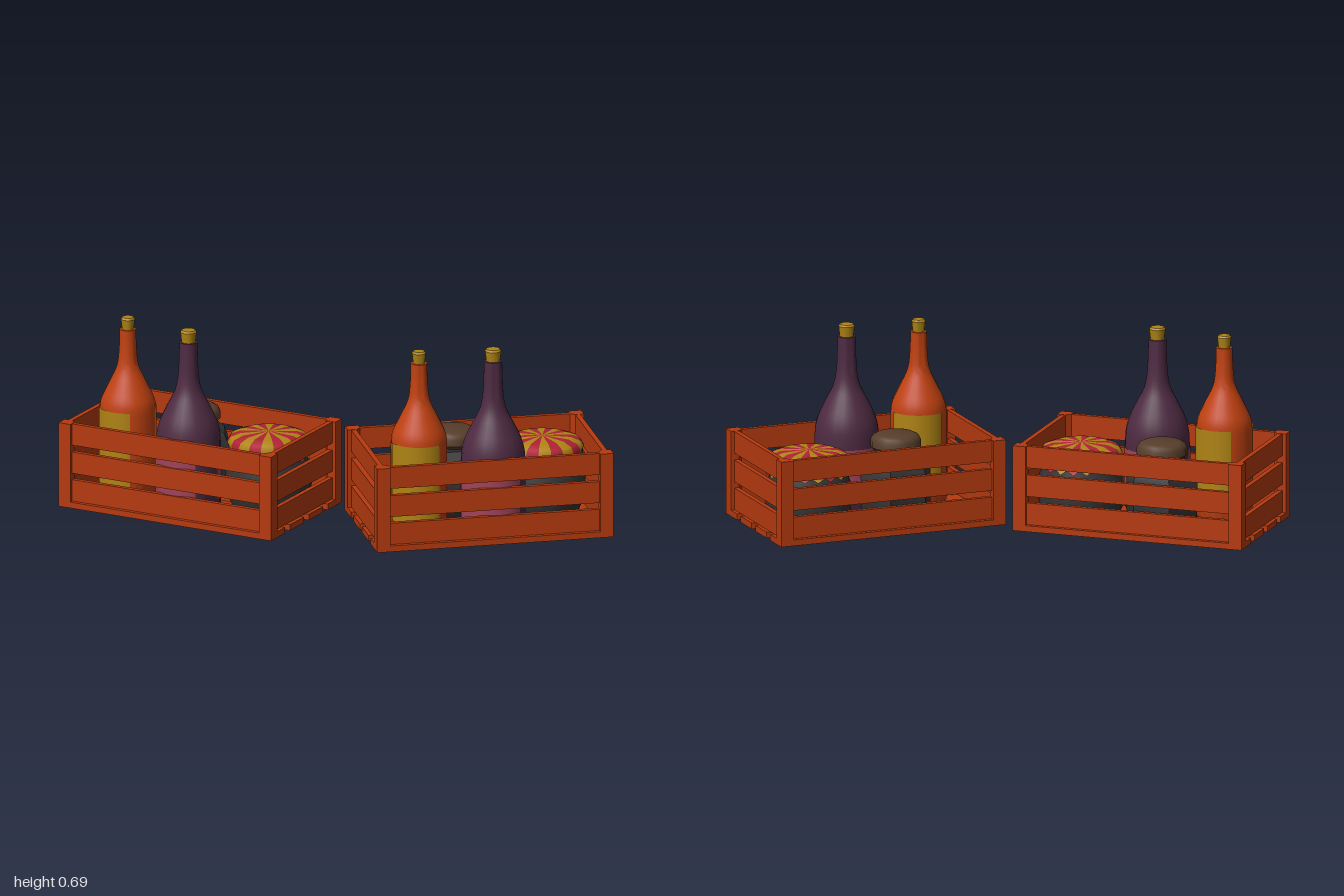
import * as THREE from 'three';
import { mergeGeometries, toCreasedNormals } from 'three/addons/utils/BufferGeometryUtils.js';

const mat = (name, color, side = THREE.FrontSide) => {
  const m = new THREE.MeshStandardMaterial({ color, side });
  m.name = name;
  return m;
};

const L = 0.858, W = 0.524, H = 0.31, FLOOR = 0.022;

export function createModel() {
  const wood = mat('crate wood', 0xb63a0f);
  const amber = mat('amber glass', 0xc04110);
  const ochre = mat('ochre', 0xb08414, THREE.DoubleSide);
  const plum = mat('plum glass', 0x4e2a42);
  const pink = mat('pink label', 0xa0445a, THREE.DoubleSide);
  const grey = mat('dark pottery', 0x363638);
  const brown = mat('brown lid', 0x583e2b);
  const red = mat('red cloth', 0xae2234, THREE.DoubleSide);

  const add = (parent, name, geo, material, x = 0, y = 0, z = 0) => {
    const m = new THREE.Mesh(geo, material);
    m.name = name;
    m.position.set(x, y, z);
    parent.add(m);
    return m;
  };
  const group = (parent, name, x = 0, z = 0) => {
    const g = new THREE.Group();
    g.name = name;
    g.position.set(x, 0, z);
    parent.add(g);
    return g;
  };
  const lathe = (pts, sides = 24, crease = 0.7) => toCreasedNormals(
    new THREE.LatheGeometry(pts.map(p => new THREE.Vector2(...p)), sides), crease);

  function crate(parent) {
    const g = group(parent, 'crate');
    // four floor boards
    const board = 0.105, step = (W - board) / 3;
    for (let i = 0; i < 4; i++) {
      add(g, 'floorBoard', new THREE.BoxGeometry(L, FLOOR, board), wood,
        0, FLOOR / 2, -W / 2 + board / 2 + i * step);
    }
    // chamfered corner posts
    const s = new THREE.Shape([[0, 0], [0.048, 0], [0.048, 0.032], [0.032, 0.048], [0, 0.048]]
      .map(p => new THREE.Vector2(...p)));
    const post = new THREE.ExtrudeGeometry(s, { depth: H - FLOOR, bevelEnabled: false });
    post.rotateX(-Math.PI / 2);
    [[-1, 1], [1, 1], [1, -1], [-1, -1]].forEach(([sx, sz], k) => {
      add(g, 'cornerPost', post, wood, sx * L / 2, FLOOR, sz * W / 2).rotation.y = k * Math.PI / 2;
    });
    // three slats on every side, set back from the posts
    for (const y of [0.0625, 0.165, 0.2695]) {
      for (const d of [-1, 1]) {
        add(g, 'longSlat', new THREE.BoxGeometry(L - 0.04, 0.079, 0.018), wood, 0, y, d * (W / 2 - 0.022));
        add(g, 'endSlat', new THREE.BoxGeometry(0.018, 0.079, W - 0.04), wood, d * (L / 2 - 0.022), y, 0);
      }
    }
  }

  // bottle with a cork and two opposite wrapped labels
  function bottle(parent, name, x, z, shoulder, glass, labelMat, r, neck, labelTop, half) {
    const g = group(parent, name, x, z);
    const curve = new THREE.SplineCurve(shoulder.map(p => new THREE.Vector2(...p)));
    const body = curve.getPoints(20).map(p => [p.x, p.y]);
    add(g, 'glass', lathe([[0, FLOOR], [r - 0.008, FLOOR], [r, FLOOR + 0.01], ...body, [0, 0.641]]), glass);
    add(g, 'cork', lathe([[0, 0.635], [neck - 0.008, 0.635], [neck - 0.003, 0.678],
      [neck - 0.008, 0.685], [0, 0.686]], 16), ochre);
    for (const turn of [0, Math.PI]) {
      add(g, 'label', new THREE.CylinderGeometry(r + 0.002, r + 0.002, labelTop - 0.07, 20, 1, true,
        -0.432 + turn - half, half * 2), labelMat, 0, (labelTop + 0.07) / 2, 0);
    }
  }

  // six-sided pot with a rounded lid
  function pot(parent, x, z) {
    const g = group(parent, 'pot', x, z);
    const body = lathe([[0, FLOOR], [0.108, FLOOR], [0.132, 0.06], [0.134, 0.2],
      [0.12, 0.235], [0.085, 0.262], [0.085, 0.28], [0, 0.28]], 6, 0.5);
    add(g, 'potBody', body, grey).rotation.y = Math.PI / 6;
    add(g, 'potLid', lathe([[0, 0.272], [0.078, 0.272], [0.09, 0.285], [0.09, 0.308],
      [0.083, 0.322], [0.068, 0.33], [0, 0.331]], 16), brown);
  }

  // round jar under a striped cloth with a pointed hem
  function jar(parent, x, z) {
    const g = group(parent, 'clothJar', x, z);
    add(g, 'jarBody', lathe([[0, FLOOR], [0.13, FLOOR], [0.148, 0.06], [0.155, 0.11],
      [0.15, 0.17], [0.138, 0.205], [0.132, 0.24], [0, 0.24]]), grey);
    const pts = [[0.153, 0.222], [0.139, 0.237], [0.147, 0.255], [0.135, 0.275], [0.1, 0.288], [0, 0.292]]
      .map(p => new THREE.Vector2(...p));
    const sectors = [[], []], n = 20;
    for (let i = 0; i < n; i++) {
      const s = new THREE.LatheGeometry(pts, 2, i * Math.PI * 2 / n, Math.PI * 2 / n);
      const p = s.attributes.position;
      p.setY(pts.length, p.getY(pts.length) - 0.018); // hem point
      sectors[i % 2].push(s);
    }
    add(g, 'redStripes', mergeGeometries(sectors[0]), red);
    add(g, 'ochreStripes', mergeGeometries(sectors[1]), ochre);
    const cord = new THREE.TorusGeometry(0.14, 0.005, 6, 32);
    cord.rotateX(Math.PI / 2);
    add(g, 'cord', cord, grey, 0, 0.237, 0);
  }

  const model = new THREE.Group();
  model.name = 'filledCrates';
  for (const [name, x, z, turn] of [['rightCrate', -0.513, -0.016, -0.29], ['leftCrate', 0.5, -0.002, 0.432]]) {
    const g = group(model, name, x, z);
    g.rotation.y = turn;
    crate(g);
    bottle(g, 'amberBottle', -0.24, 0.095,
      [[0.1, 0.345], [0.094, 0.385], [0.066, 0.445], [0.039, 0.505], [0.031, 0.57], [0.029, 0.641]],
      amber, ochre, 0.1, 0.028, 0.357, 1.0);
    bottle(g, 'plumBottle', 0.022, 0.127,
      [[0.115, 0.26], [0.112, 0.31], [0.1, 0.355], [0.074, 0.41], [0.047, 0.465], [0.036, 0.53], [0.032, 0.641]],
      plum, pink, 0.115, 0.032, 0.25, 1.15);
    pot(g, -0.074, -0.099);
    jar(g, 0.243, -0.06);
  }
  return model;
}
